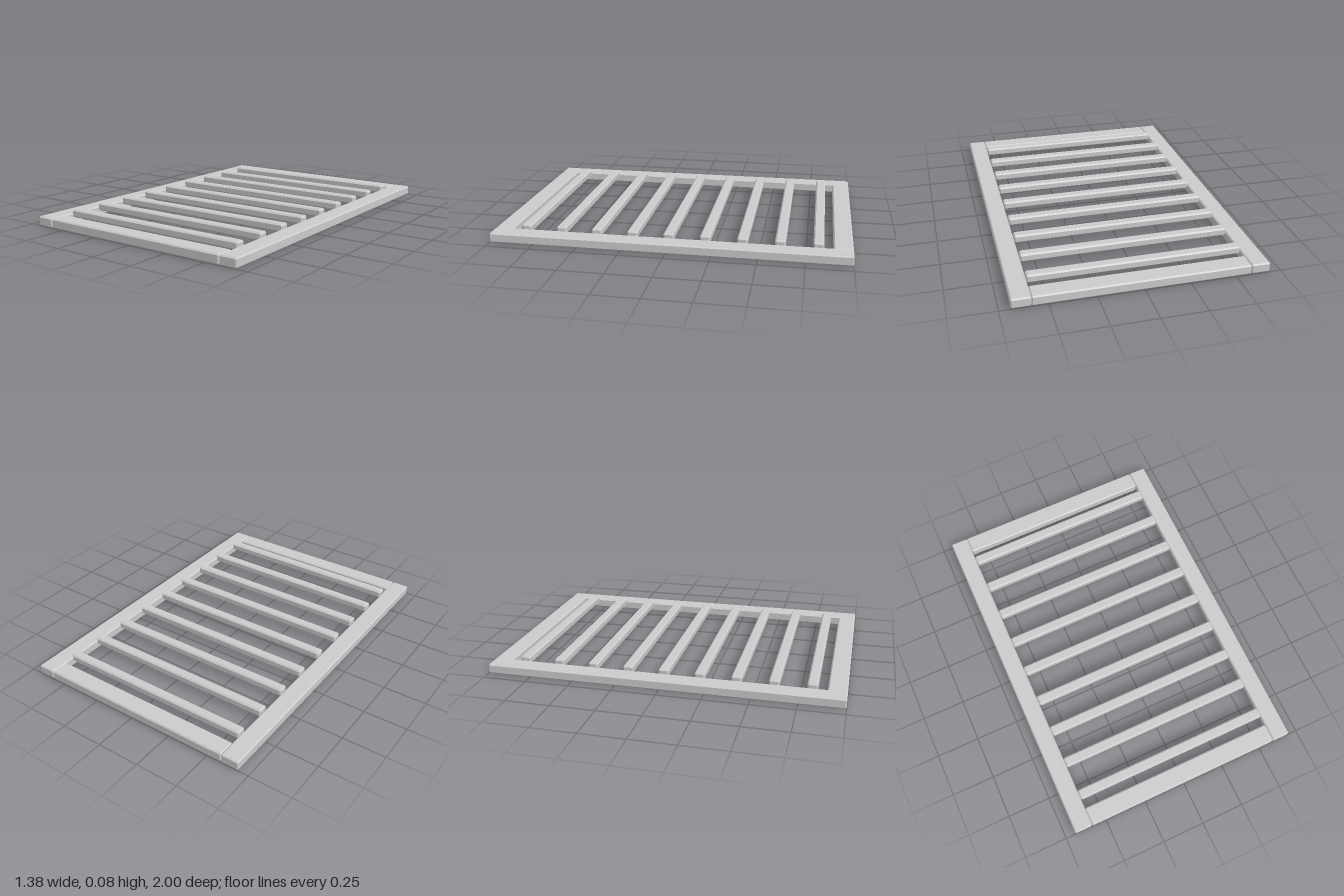
import * as THREE from 'three';
import { ConvexGeometry } from 'three/addons/geometries/ConvexGeometry.js';

const material = new THREE.MeshStandardMaterial({ color: 0xcccccc, flatShading: true });

// Beam with every edge and corner chamfered by c
function beam(name, w, h, d, c, x, y, z) {
  const points = [];
  for (const sx of [-1, 1]) for (const sy of [-1, 1]) for (const sz of [-1, 1]) {
    const a = w / 2, b = h / 2, e = d / 2;
    points.push(
      new THREE.Vector3(sx * a, sy * (b - c), sz * (e - c)),
      new THREE.Vector3(sx * (a - c), sy * b, sz * (e - c)),
      new THREE.Vector3(sx * (a - c), sy * (b - c), sz * e)
    );
  }
  const mesh = new THREE.Mesh(new ConvexGeometry(points), material);
  mesh.name = name;
  mesh.position.set(x, y, z);
  return mesh;
}

export function createModel() {
  const group = new THREE.Group();
  group.name = 'slattedFrame';

  const halfWidth = 0.69, railWidth = 0.105, railHeight = 0.055;
  const innerWidth = 2 * (halfWidth - railWidth);

  // Outer frame: two long rails and two end rails between them
  for (const s of [-1, 1]) {
    group.add(beam(s > 0 ? 'leftRail' : 'rightRail', railWidth, railHeight, 2, 0.007,
      s * (halfWidth - railWidth / 2), railHeight / 2, 0));
    group.add(beam(s > 0 ? 'frontRail' : 'backRail', innerWidth, railHeight, railWidth, 0.007,
      0, railHeight / 2, s * (1 - railWidth / 2)));
  }

  // Nine raised slats, evenly spaced along the frame
  const count = 9, pitch = 0.204, top = 0.078, thickness = 0.045;
  for (let i = 0; i < count; i++) {
    group.add(beam('slat' + (i + 1), innerWidth, thickness, 0.058, 0.008,
      0, top - thickness / 2, (i - (count - 1) / 2) * pitch));
  }
  return group;
}
